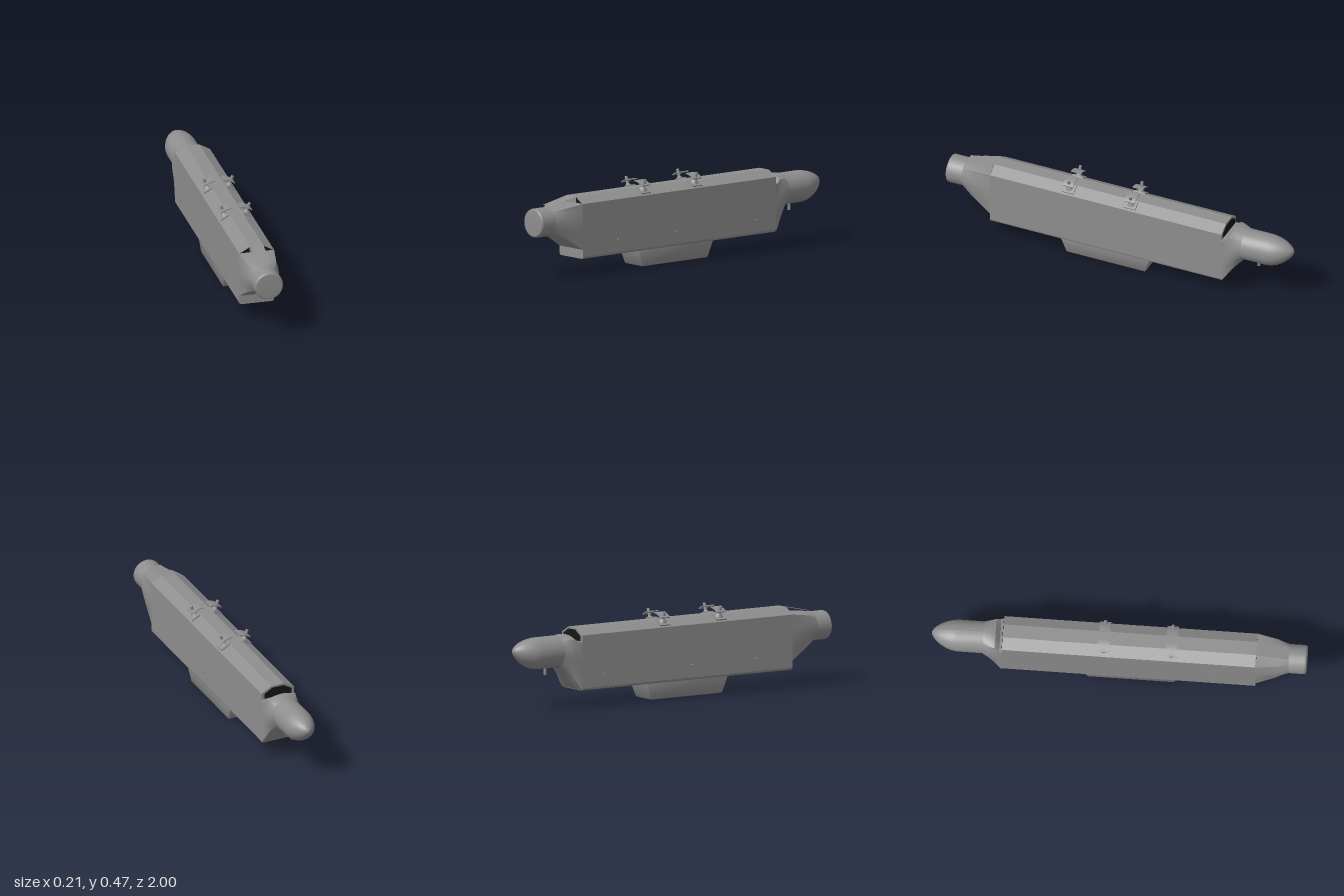
import * as THREE from 'three';
import { toCreasedNormals } from 'three/addons/utils/BufferGeometryUtils.js';
import { RoundedBoxGeometry } from 'three/addons/geometries/RoundedBoxGeometry.js';

const N = 32;

// Cross-section between a rectangle (round = 0) and an ellipse (round = 1)
function ring(z, halfWidth, y0, y1, round) {
  const points = [];
  for (let i = 0; i < N; i++) {
    const a = (i / N) * Math.PI * 2;
    const c = Math.cos(a), s = Math.sin(a);
    const k = (1 - round) / Math.max(Math.abs(c), Math.abs(s)) + round;
    points.push([c * k * halfWidth, (y0 + y1) / 2 + s * k * (y1 - y0) / 2, z]);
  }
  return points;
}

// Skin through rings ordered from low z to high z
function loft(rings) {
  const index = [];
  for (let r = 0; r < rings.length - 1; r++) {
    for (let i = 0; i < N; i++) {
      const j = (i + 1) % N;
      const a = r * N + i, b = r * N + j, c = b + N, d = a + N;
      index.push(a, b, c, a, c, d);
    }
  }
  const g = new THREE.BufferGeometry();
  g.setAttribute('position', new THREE.Float32BufferAttribute(rings.flat(2), 3));
  g.setIndex(index);
  return toCreasedNormals(g, 0.45);
}

function shapeOf(points) {
  return new THREE.Shape(points.map(([x, y]) => new THREE.Vector2(x, y)));
}

function moveVertices(g, rule) {
  const p = g.attributes.position;
  const v = new THREE.Vector3();
  for (let i = 0; i < p.count; i++) {
    rule(v.fromBufferAttribute(p, i));
    p.setXYZ(i, v.x, v.y, v.z);
  }
  g.computeVertexNormals();
  return g;
}

export function createModel() {
  const model = new THREE.Group();
  model.name = 'pod';
  const grey = new THREE.MeshStandardMaterial({ color: 0x8e8e8e });
  grey.name = 'grey';
  const dark = new THREE.MeshStandardMaterial({ color: 0x161616, side: THREE.DoubleSide });
  dark.name = 'dark opening';
  const sheet = new THREE.MeshStandardMaterial({ color: 0x8e8e8e, side: THREE.DoubleSide });
  sheet.name = 'grey sheet';

  function add(name, geometry, material = grey, parent = model) {
    const mesh = new THREE.Mesh(geometry, material);
    mesh.name = name;
    parent.add(mesh);
    return mesh;
  }

  // Long main body with bevelled roof and eased lower edges
  const half = [[0.085, 0.09], [0.093, 0.094], [0.096, 0.103], [0.096, 0.387], [0.037, 0.42]];
  const outline = [...half, ...half.map(([x, y]) => [-x, y]).reverse()];
  const body = new THREE.ExtrudeGeometry(shapeOf(outline), { depth: 1.35, bevelEnabled: false });
  add('mainBody', body.translate(0, 0, -0.62));

  // Front fairing from rectangular body to round end
  add('frontFairing', loft([
    ring(0.73, 0.096, 0.14, 0.387, 0),
    ring(0.84, 0.094, 0.193, 0.387, 0.55),
    ring(0.905, 0.078, 0.222, 0.379, 1),
  ]));

  // Round front end with a softened rim
  const endProfile = [[0.078, 0.88], [0.078, 0.988], [0.075, 0.996], [0.068, 1], [0, 1]];
  const end = new THREE.LatheGeometry(endProfile.map(([r, z]) => new THREE.Vector2(r, z)), 24);
  add('frontEnd', end.rotateX(Math.PI / 2).translate(0, 0.3, 0));

  // Sloping centre strip of the roof
  const strip = new THREE.PlaneGeometry(0.074, 1).rotateX(-Math.PI / 2);
  add('roofRamp', moveVertices(strip, (v) => {
    v.y = v.z > 0 ? 0.384 : 0.42;
    v.z = v.z > 0 ? 0.9 : 0.73;
  }), sheet);

  // Openings on either side of the ramp, with narrow cheek panels
  for (const s of [-1, 1]) {
    const opening = shapeOf([[s * 0.039, 0.388], [s * 0.09, 0.388], [s * 0.039, 0.416]]);
    add('frontOpening', new THREE.ShapeGeometry(opening).translate(0, 0, 0.732), dark);
  }

  // Rear collar from body to round nose
  add('rearCollar', loft([
    ring(-0.725, 0.086, 0.212, 0.386, 1),
    ring(-0.69, 0.095, 0.175, 0.39, 0.75),
    ring(-0.66, 0.096, 0.138, 0.386, 0.45),
    ring(-0.635, 0.096, 0.108, 0.353, 0.1),
    ring(-0.62, 0.096, 0.092, 0.35, 0),
  ]));

  // Dark gap under the rear roof edge
  const gap = shapeOf([[-0.08, 0.355], [0.08, 0.355], [0.08, 0.383], [0.033, 0.411], [-0.033, 0.411], [-0.08, 0.383]]);
  add('rearOpening', new THREE.ShapeGeometry(gap).rotateY(Math.PI).translate(0, 0, -0.622), dark);

  // Rounded rear nose, its tip lifted slightly
  const noseProfile = [[0.085, 0.7], [0.085, 0.86], [0.081, 0.89], [0.072, 0.92], [0.057, 0.95],
    [0.043, 0.97], [0.026, 0.988], [0.012, 0.997], [0, 1]];
  const nose = new THREE.LatheGeometry(noseProfile.map(([r, z]) => new THREE.Vector2(r, z)), 32);
  nose.rotateX(-Math.PI / 2).translate(0, 0.3, 0);
  add('rearNose', moveVertices(nose, (v) => {
    const t = Math.max(0, (-v.z - 0.86) / 0.14);
    v.y += 0.02 * t * t;
  }));
  const tailPin = add('tailPin', new THREE.CylinderGeometry(0.008, 0.008, 0.05, 12));
  tailPin.position.set(0, 0.204, -0.795);

  // Tapered belly housing
  const belly = new RoundedBoxGeometry(0.166, 0.12, 0.54, 3, 0.008);
  belly.translate(0, 0.06, 0);
  const bellyMesh = add('bellyHousing', toCreasedNormals(moveVertices(belly, (v) => {
    const t = Math.min(1, v.y / 0.09);
    v.x *= 0.86 + 0.14 * t;
    v.z *= 0.85 + 0.15 * t;
  }), 0.6));
  bellyMesh.position.z = 0.065;

  // Small pins along both sides
  for (const z of [-0.48, 0.085, 0.49]) {
    const pin = add('sidePin', new THREE.CylinderGeometry(0.004, 0.004, 0.214, 10));
    pin.rotation.z = Math.PI / 2;
    pin.position.set(0, 0.172, z);
  }

  // Four sway braces on the bevelled roof
  for (const z of [-0.08, 0.28]) {
    for (const s of [-1, 1]) {
      const pad = add('bracePad', new THREE.BoxGeometry(0.054, 0.012, 0.066));
      pad.position.set(s * 0.063, 0.407, z);
      pad.rotation.z = -s * 0.52;

      const brace = new THREE.Group();
      brace.name = 'swayBrace';
      brace.position.set(s * 0.059, 0.412, z);
      brace.rotation.z = -s * 0.34;
      model.add(brace);
      add('braceFoot', new THREE.CylinderGeometry(0.009, 0.025, 0.02, 16), grey, brace).position.y = 0.008;
      add('braceScrew', new THREE.CylinderGeometry(0.008, 0.008, 0.055, 12), grey, brace).position.y = 0.031;
      const plate = new THREE.BoxGeometry(0.067, 0.005, 0.06, 8, 1, 1);
      moveVertices(plate, (v) => { v.y -= 5 * v.x * v.x; });
      add('bracePlate', plate, grey, brace).position.set(-s * 0.017, 0.037, 0);
    }
  }
  return model;
}
